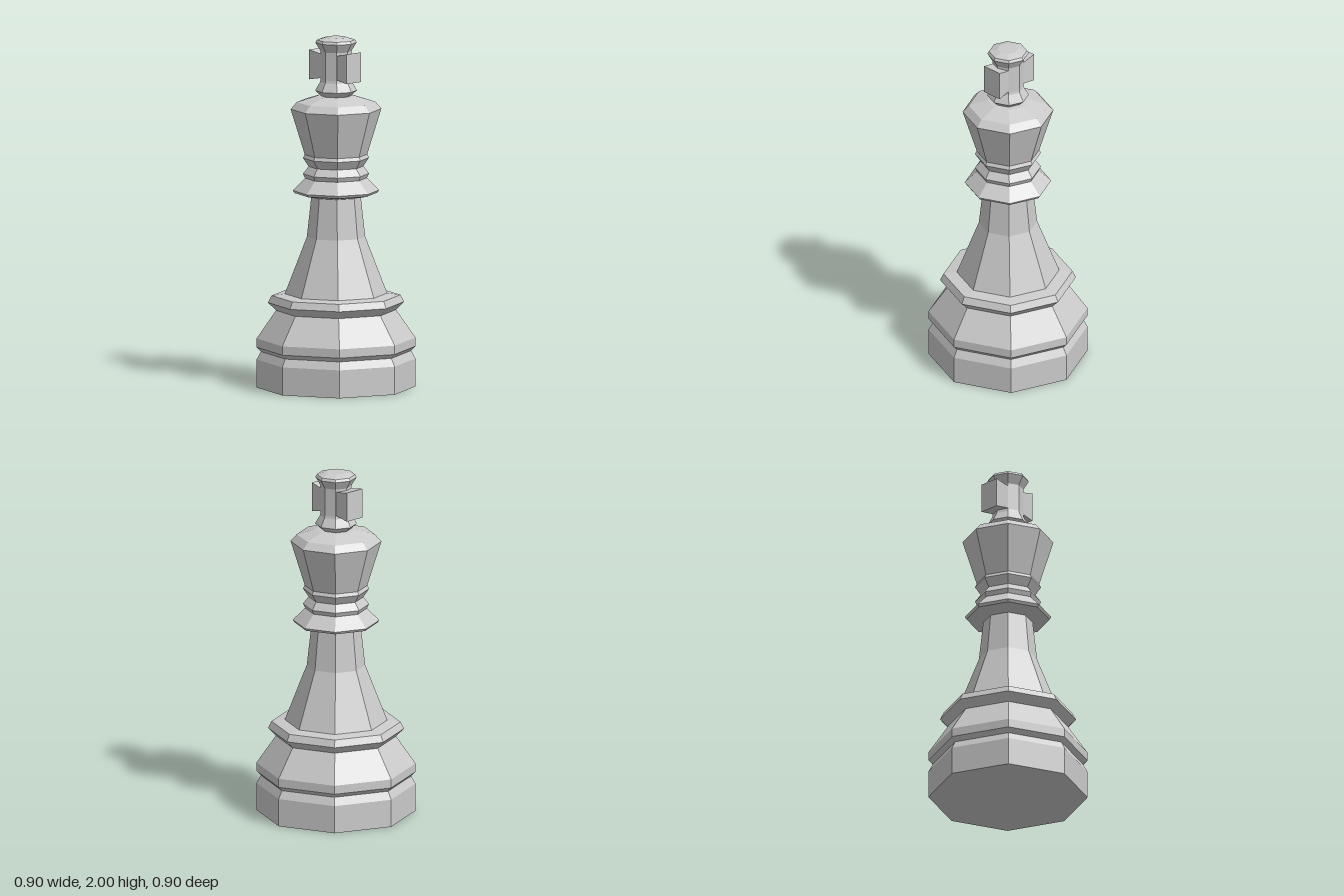
import * as THREE from 'three';

const material = new THREE.MeshStandardMaterial({ color: 0xcccccc, flatShading: true });

// Turned eight-sided parts: [radius, height] from bottom to top
const profiles = {
  base: [[0, 0], [0.45, 0], [0.45, 0.16], [0.425, 0.205], [0.45, 0.23], [0.45, 0.28], [0.34, 0.44]],
  baseRim: [[0.34, 0.44], [0.385, 0.485], [0.365, 0.525], [0.29, 0.535]],
  stem: [[0.29, 0.535], [0.165, 0.86], [0.14, 1.09]],
  collar: [[0.14, 1.09], [0.235, 1.11], [0.245, 1.125], [0.175, 1.195]],
  neckRings: [[0.175, 1.195], [0.187, 1.22], [0.155, 1.262], [0.187, 1.31], [0.177, 1.33]],
  head: [[0.177, 1.33], [0.257, 1.59], [0.222, 1.63], [0.115, 1.663], [0.085, 1.665]],
  finialRing: [[0.085, 1.665], [0.118, 1.695], [0.11, 1.71], [0.09, 1.745]],
  finialShaft: [[0.09, 1.745], [0.087, 1.76], [0.087, 1.92]],
  finialCap: [[0.087, 1.92], [0.117, 1.97], [0.108, 1.985], [0.06, 2], [0, 2]],
};

export function createModel() {
  const group = new THREE.Group();
  const add = (name, geometry) => {
    const mesh = new THREE.Mesh(geometry, material);
    mesh.name = name;
    group.add(mesh);
  };

  for (const [name, points] of Object.entries(profiles)) {
    add(name, new THREE.LatheGeometry(points.map(([r, y]) => new THREE.Vector2(r, y)), 8));
  }

  // Cross arms, flaring slightly outwards to the front and back
  const arms = new THREE.Shape([
    [-0.152, 1.75], [-0.07, 1.765], [0.07, 1.765], [0.135, 1.75],
    [0.135, 1.92], [0.07, 1.905], [-0.07, 1.905], [-0.152, 1.92],
  ].map(([z, y]) => new THREE.Vector2(z, y)));
  const armGeometry = new THREE.ExtrudeGeometry(arms, { depth: 0.12, bevelEnabled: false });
  armGeometry.rotateY(-Math.PI / 2).translate(0.06, 0, 0);
  add('crossArms', armGeometry);

  return group;
}
